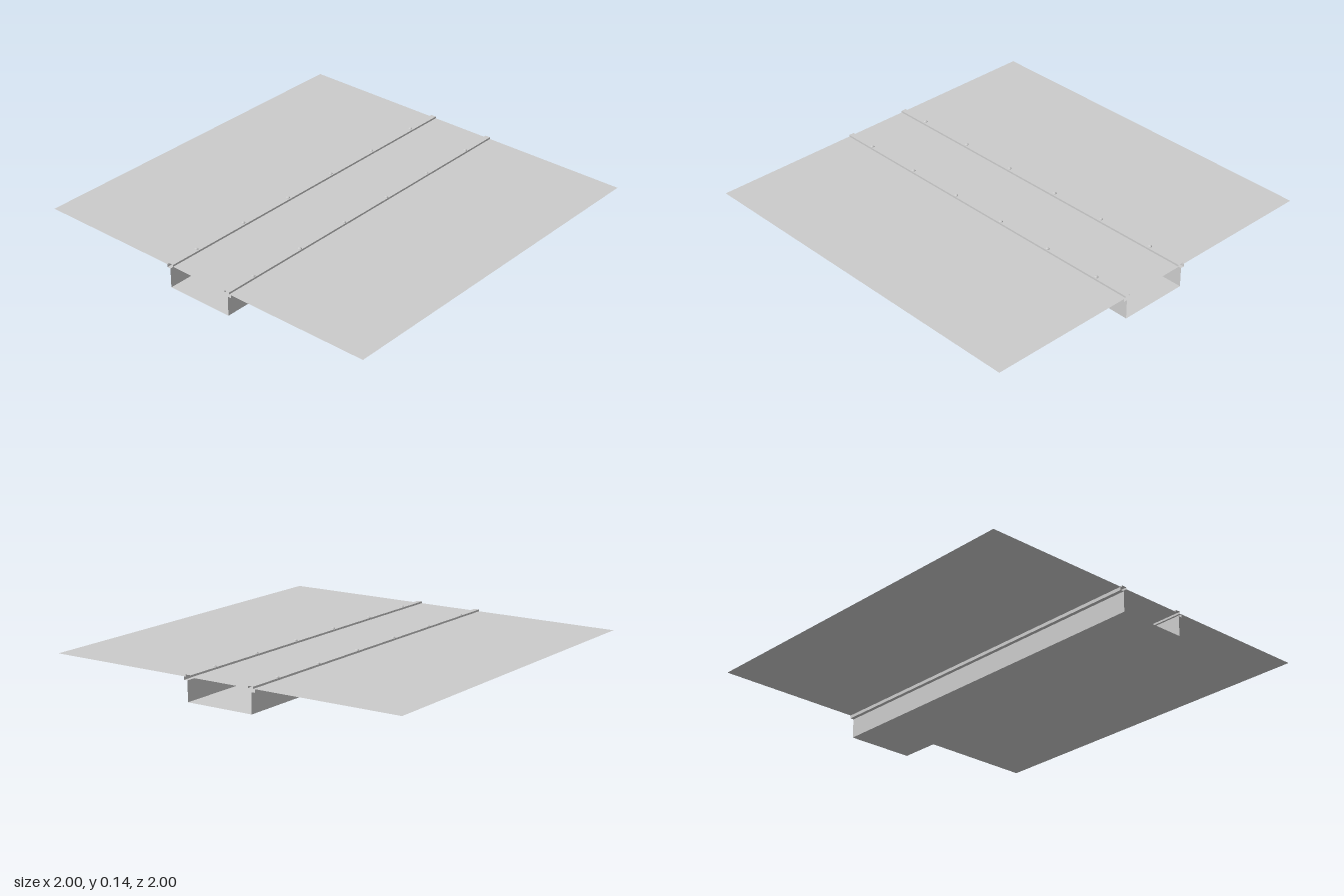
import * as THREE from 'three';

const material = new THREE.MeshStandardMaterial({ color: 0xcccccc, side: THREE.DoubleSide, flatShading: true });

// Thin open sheet: a [z, y] profile swept along x from -1 to 1
function sheet(name, profile) {
  const positions = [];
  for (let i = 0; i < profile.length - 1; i++) {
    const [z0, y0] = profile[i];
    const [z1, y1] = profile[i + 1];
    positions.push(-1, y0, z0, 1, y0, z0, 1, y1, z1);
    positions.push(-1, y0, z0, 1, y1, z1, -1, y1, z1);
  }
  const geometry = new THREE.BufferGeometry();
  geometry.setAttribute('position', new THREE.Float32BufferAttribute(positions, 3));
  geometry.computeVertexNormals();
  const mesh = new THREE.Mesh(geometry, material);
  mesh.name = name;
  return mesh;
}

export function createModel() {
  const group = new THREE.Group();
  group.name = 'floorChannel';
  const deck = 0.122, ledge = 0.105, top = 0.132, wall = 0.187;

  // Open-ended trough under the deck: wall, bottom, wall
  group.add(sheet('trough', [[wall, ledge], [wall, 0], [-wall, 0], [-wall, ledge]]));

  // Removable lid over the trough
  group.add(sheet('lid', [[0.168, deck], [-0.168, deck]]));

  // Low domed screw head, drawn as a small lathe
  const screwGeometry = new THREE.LatheGeometry(
    [[0.01, 0], [0.009, 0.003], [0.005, 0.006], [0, 0.007]].map(([r, y]) => new THREE.Vector2(r, y)), 12);

  for (const s of [1, -1]) {
    const side = s > 0 ? 'front' : 'back';

    // Floor panel beside the trough
    group.add(sheet(side + 'Panel', [[s, deck], [s * 0.207, deck]]));

    // Folded rail along the joint, with a narrow step on its outer side
    group.add(sheet(side + 'Rail', [
      [wall, ledge], [0.207, ledge], [0.207, deck], [0.197, deck],
      [0.197, top], [0.168, top], [0.168, deck],
    ].map(([z, y]) => [s * z, y])));

    // Row of screws along the rail
    const screws = new THREE.Group();
    screws.name = side + 'Screws';
    for (let i = 0; i < 6; i++) {
      const screw = new THREE.Mesh(screwGeometry, material);
      screw.name = 'screw';
      screw.position.set(-0.825 + i * 0.325, top, s * 0.185);
      screws.add(screw);
    }
    group.add(screws);
  }
  return group;
}
